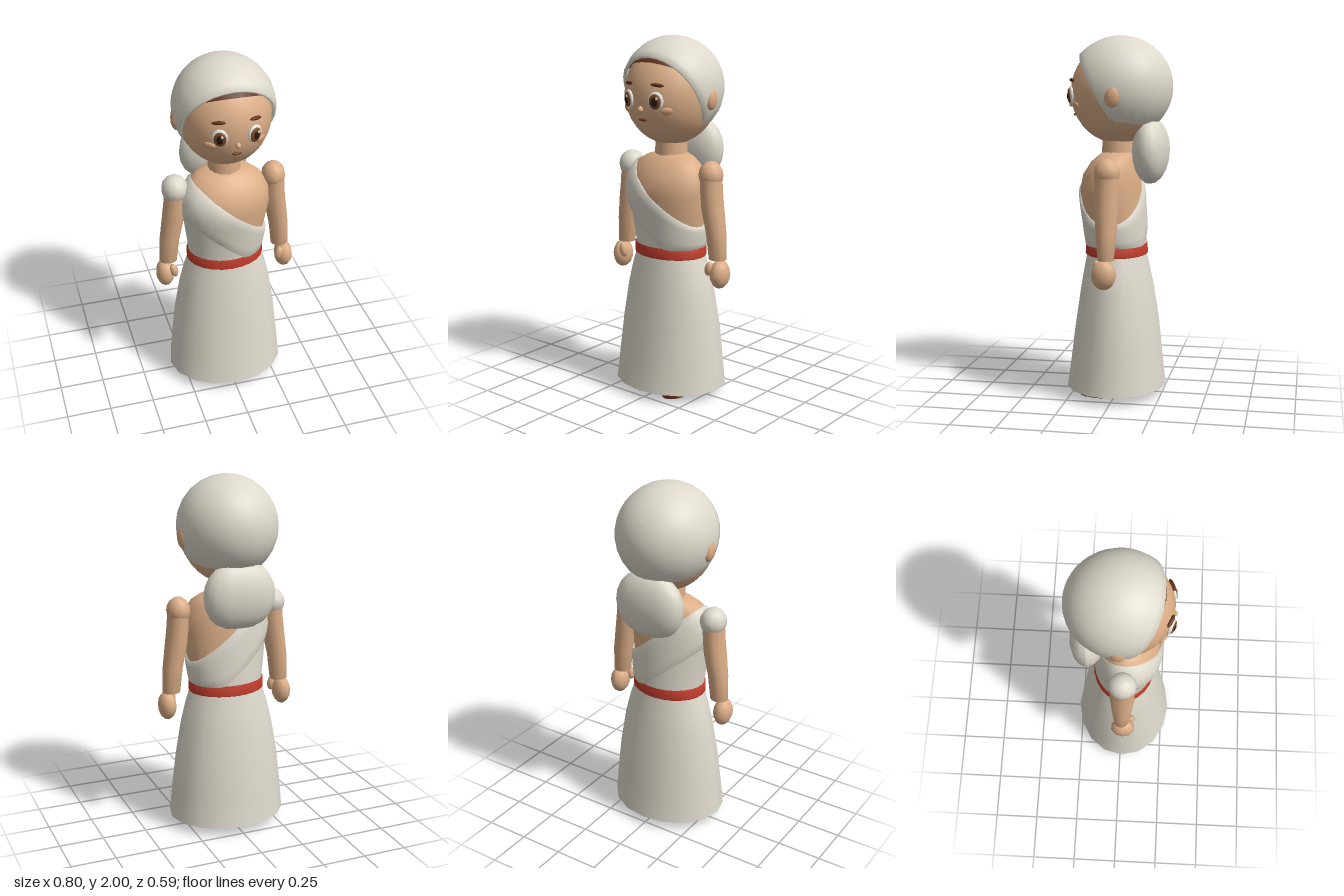
import * as THREE from 'three';

const paint = (name, color) => {
  const m = new THREE.MeshStandardMaterial({ color });
  m.name = name;
  return m;
};

// Closed tube of rows x cols vertices; point(row, angle) gives [x, y, z], rows run upward
function loft(rows, cols, point) {
  const pos = [], idx = [];
  for (let i = 0; i < rows; i++)
    for (let j = 0; j < cols; j++) pos.push(...point(i, (j / cols) * Math.PI * 2));
  for (let i = 0; i < rows - 1; i++)
    for (let j = 0; j < cols; j++) {
      const k = (j + 1) % cols;
      const a = i * cols + j, b = i * cols + k, c = a + cols, d = b + cols;
      idx.push(a, c, b, b, c, d);
    }
  const g = new THREE.BufferGeometry();
  g.setAttribute('position', new THREE.Float32BufferAttribute(pos, 3));
  g.setIndex(idx);
  g.computeVertexNormals();
  return g;
}

// Ring: [y, half width, front z, back z, centre x]
const onRing = ([y, w, f, b, cx = 0], a, off = 0) => [
  cx + (w + off) * Math.cos(a), y, (f + b) / 2 + ((f - b) / 2 + off) * Math.sin(a)];
const ringLoft = (rings, cols) => loft(rings.length, cols, (i, a) => onRing(rings[i], a));

// Interpolated ring at height y
function ringAt(rings, y) {
  let i = 0;
  while (i < rings.length - 2 && y > rings[i + 1][0]) i++;
  const p = rings[i], q = rings[i + 1];
  const t = THREE.MathUtils.clamp((y - p[0]) / (q[0] - p[0]), 0, 1);
  return p.map((v, k) => v + (q[k] - v) * t);
}

const TORSO = [
  [0.8, 0.198, 0.168, -0.15], [0.86, 0.2, 0.17, -0.15], [1.0, 0.22, 0.185, -0.14],
  [1.15, 0.242, 0.212, -0.13], [1.24, 0.236, 0.195, -0.12], [1.31, 0.2, 0.15, -0.105],
  [1.345, 0.15, 0.11, -0.09], [1.365, 0.085, 0.085, -0.08], [1.368, 0.01, 0.01, -0.01]];

// Height where a slanted line y = h - 0.85 x meets the torso at an angle
function slant(h, a) {
  let y = 1.1;
  for (let n = 0; n < 25; n++) {
    const x = onRing(ringAt(TORSO, y), a)[0];
    y = (y + THREE.MathUtils.clamp(h - 0.85 * x, 0.85, 1.34)) / 2;
  }
  return y;
}

const HEAD = { y: 1.69, rx: 0.25, ry: 0.28, rz: 0.266 };

export function createModel() {
  const root = new THREE.Group();
  root.name = 'robedFigure';

  const cloth = paint('cloth', 0xded9cc);
  cloth.side = THREE.DoubleSide;
  const skin = paint('skin', 0xdcae87);
  const red = paint('beltRed', 0xc23d2c);
  red.side = THREE.DoubleSide;
  const hairBrown = paint('hairBrown', 0x5f3216);
  hairBrown.side = THREE.DoubleSide;
  const leather = paint('leather', 0x70401f);
  const eyeWhite = paint('eyeWhite', 0xe9e6df);
  const irisBrown = paint('irisBrown', 0x7a4a25);
  const dark = paint('pupilDark', 0x2c180c);
  const blush = paint('blush', 0xdba27c);

  const add = (name, geo, mat, x = 0, y = 0, z = 0, parent = root) => {
    const m = new THREE.Mesh(geo, mat);
    m.name = name;
    m.position.set(x, y, z);
    parent.add(m);
    return m;
  };
  const ball = (rx, ry, rz, w = 14, h = 10) => new THREE.SphereGeometry(1, w, h).scale(rx, ry, rz);

  // Skirt, open at the hem
  add('skirt', ringLoft([
    [0.05, 0.335, 0.29, -0.27], [0.2, 0.322, 0.268, -0.253], [0.4, 0.3, 0.242, -0.232],
    [0.6, 0.267, 0.212, -0.2], [0.72, 0.237, 0.192, -0.175], [0.8, 0.21, 0.177, -0.157],
    [0.845, 0.2, 0.17, -0.15]], 16), cloth);
  add('belt', ringLoft([
    [0.795, 0.212, 0.178, -0.158], [0.8, 0.217, 0.184, -0.163],
    [0.855, 0.216, 0.181, -0.16], [0.862, 0.198, 0.168, -0.148]], 24), red);

  // Torso, wrapped bodice and diagonal sash
  add('torso', ringLoft(TORSO, 28), skin);
  add('bodice', loft(8, 36, (i, a) => {
    const y = THREE.MathUtils.lerp(0.82, slant(1.13, a), i / 7);
    return onRing(ringAt(TORSO, y), a, 0.007);
  }), cloth);
  const sashRows = [[0, 0.002], [0, 0.015], [0.25, 0.018], [0.5, 0.018], [0.75, 0.018], [1, 0.014], [1, -0.005]];
  add('sash', loft(sashRows.length, 36, (i, a) => {
    const [t, off] = sashRows[i];
    const y = THREE.MathUtils.lerp(slant(0.915, a), slant(1.16, a), t);
    return onRing(ringAt(TORSO, y), a, off);
  }), cloth);

  // Neck
  add('neck', new THREE.CylinderGeometry(0.085, 0.09, 0.14, 14), skin, 0, 1.42, 0.005);

  // Arms, hands, legs and sandals
  for (const s of [1, -1]) {
    const side = s > 0 ? 'left' : 'right';
    const arm = ringLoft([
      [0.8, 0.01, 0.02, 0, s * 0.325], [0.81, 0.05, 0.055, -0.035, s * 0.327],
      [0.95, 0.056, 0.066, -0.045, s * 0.317], [1.08, 0.061, 0.08, -0.055, s * 0.295],
      [1.18, 0.06, 0.08, -0.055, s * 0.284], [1.28, 0.058, 0.08, -0.055, s * 0.28]], 12);
    add(side + 'Arm', arm, skin);
    const pad = s > 0 ? 0.066 : 0.073;
    add(side + 'Shoulder', ball(pad, 0.078, pad + 0.006, 12, 8), s > 0 ? skin : cloth, s * 0.279, 1.27, 0.012);
    add(side + 'Hand', ball(0.051, 0.08, 0.068, 10, 8), skin, s * 0.35, 0.732, 0.018);
    const thumb = add(side + 'Thumb', ball(0.024, 0.042, 0.024, 8, 6), skin, s * 0.308, 0.765, 0.062);
    thumb.rotation.z = s * -0.2;

    add(side + 'Leg', new THREE.CylinderGeometry(0.075, 0.05, 0.55, 12), skin, s * 0.112, 0.33, -0.005);
    add(side + 'Foot', ball(0.058, 0.055, 0.115, 12, 8), skin, s * 0.112, 0.055, 0.07);
    add(side + 'Sole', new THREE.CylinderGeometry(1, 1, 0.022, 16).scale(0.07, 1, 0.125), hairBrown, s * 0.112, 0.011, 0.073);
    add(side + 'SandalBed', new THREE.CylinderGeometry(1, 1, 0.014, 16).scale(0.064, 1, 0.118), leather, s * 0.112, 0.029, 0.073);
    const toe = add(side + 'ToeStrap', new THREE.TorusGeometry(0.057, 0.012, 6, 14, Math.PI), leather, s * 0.112, 0.045, 0.09);
    toe.scale.z = 1.8;
    add(side + 'AnkleStrap', new THREE.CylinderGeometry(0.06, 0.058, 0.025, 12), leather, s * 0.112, 0.15, -0.005);
  }

  // Head, hair and ears
  add('head', ball(HEAD.rx, HEAD.ry, HEAD.rz, 26, 18), skin, 0, HEAD.y, 0);
  add('hair', new THREE.SphereGeometry(1, 26, 10, 0, Math.PI * 2, 0, 1.4).rotateX(-0.503)
    .scale(HEAD.rx * 1.025, HEAD.ry * 1.025, HEAD.rz * 1.03), hairBrown, 0, HEAD.y, 0);
  for (const s of [1, -1])
    add(s > 0 ? 'leftEar' : 'rightEar', ball(0.03, 0.063, 0.046, 10, 8), skin, s * 0.255, 1.677, -0.012);

  // Head scarf: a turned shell, open toward the face, with a thin inner rim
  const open = 1.21, profile = [];
  for (let i = 14; i >= 0; i--) {
    const t = open + ((Math.PI - open) * i) / 14;
    profile.push(new THREE.Vector2(Math.max(Math.sin(t), 0.0001), Math.cos(t)));
  }
  profile.push(new THREE.Vector2(Math.sin(open) * 0.93, Math.cos(open) * 0.95));
  const scarf = new THREE.LatheGeometry(profile, 28).rotateX(2.07).scale(0.275, 0.28, 0.29);
  const sp = scarf.attributes.position;
  for (let i = 0; i < sp.count; i++) sp.setY(i, Math.max(sp.getY(i), -0.23));
  add('headScarf', scarf, cloth, 0, 1.72, -0.01);

  // Gathered cloth hanging behind the neck
  const fall = new THREE.SphereGeometry(1, 16, 10);
  const fp = fall.attributes.position;
  const bulge = (v) => Math.sign(v) * Math.pow(Math.abs(v), 0.75);
  for (let i = 0; i < fp.count; i++) fp.setX(i, bulge(fp.getX(i)));
  fall.scale(0.205, 0.182, 0.098).computeVertexNormals();
  add('scarfFall', fall, cloth, 0, 1.372, -0.182);

  // Facial features, laid on the head surface
  const feature = (name, x, y, rx, ry, depth, mat, lift = 0, roll = 0) => {
    const dy = y - HEAD.y;
    const z = HEAD.rz * Math.sqrt(1 - (x / HEAD.rx) ** 2 - (dy / HEAD.ry) ** 2);
    const n = new THREE.Vector3(x / HEAD.rx ** 2, dy / HEAD.ry ** 2, z / HEAD.rz ** 2).normalize();
    const m = add(name, ball(rx, ry, depth, 14, 8), mat, x + n.x * lift, y + n.y * lift, z + n.z * lift);
    m.quaternion.setFromUnitVectors(new THREE.Vector3(0, 0, 1), n);
    m.rotateZ(roll);
  };
  for (const s of [1, -1]) {
    const side = s > 0 ? 'left' : 'right';
    feature(side + 'EyeWhite', s * 0.092, 1.675, 0.043, 0.05, 0.016, eyeWhite);
    feature(side + 'Iris', s * 0.09, 1.673, 0.033, 0.041, 0.01, irisBrown, 0.01);
    feature(side + 'Pupil', s * 0.09, 1.673, 0.018, 0.026, 0.007, dark, 0.016);
    feature(side + 'Glint', s * 0.09 + 0.01, 1.69, 0.007, 0.008, 0.004, eyeWhite, 0.022);
    feature(side + 'Eyebrow', s * 0.095, 1.757, 0.037, 0.01, 0.012, hairBrown, 0.004, s * -0.04);
    feature(side + 'Cheek', s * 0.137, 1.621, 0.033, 0.021, 0.01, blush);
  }
  feature('nose', 0, 1.627, 0.014, 0.017, 0.018, skin, 0.003);
  feature('mouth', 0, 1.57, 0.027, 0.008, 0.009, leather, 0.002);

  return root;
}
